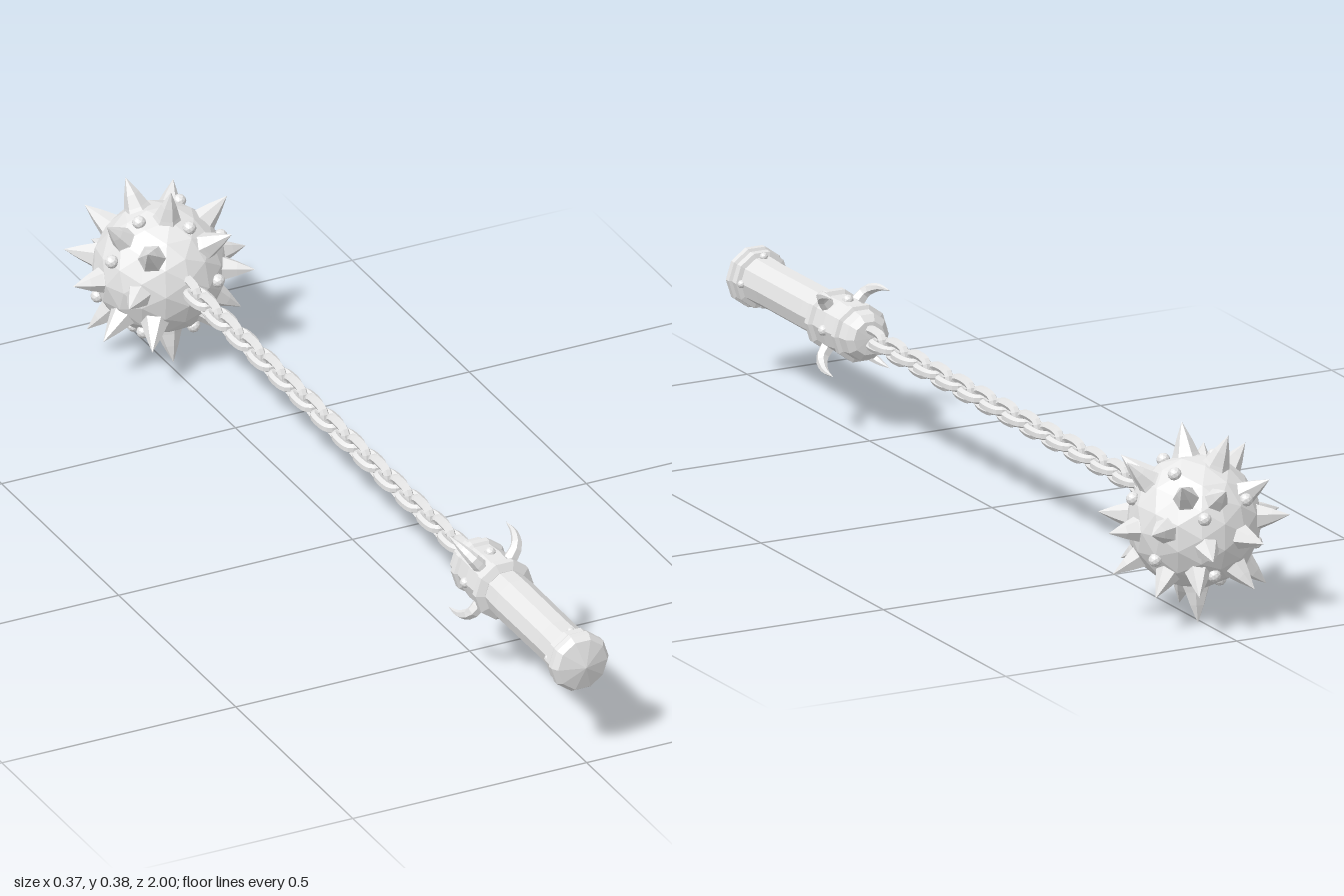
import * as THREE from 'three';

const AXIS_Y = 0.209;

export function createModel() {
  const model = new THREE.Group();
  const steel = new THREE.MeshStandardMaterial({ color: 0xe7e7e7, flatShading: true });
  steel.name = 'steel';

  const add = (parent, name, geometry) => {
    const mesh = new THREE.Mesh(geometry, steel);
    mesh.name = name;
    parent.add(mesh);
    return mesh;
  };
  const group = (name, y, z) => {
    const g = new THREE.Group();
    g.name = name;
    g.position.set(0, y, z);
    model.add(g);
    return g;
  };

  // Ten-sided turned part along z, from [radius, z] pairs in rising z
  const turned = (pairs) => new THREE.LatheGeometry(
    pairs.map(([r, z]) => new THREE.Vector2(r, z)), 10, Math.PI / 10).rotateX(Math.PI / 2);

  // Handle: collar, grip and pommel
  const handle = group('handle', AXIS_Y, 0);
  add(handle, 'collar', turned([
    [0, 0.497], [0.034, 0.499], [0.047, 0.51], [0.05, 0.532], [0.058, 0.535], [0.058, 0.548],
    [0.052, 0.552], [0.056, 0.59], [0.054, 0.632], [0.062, 0.636], [0.062, 0.65], [0.046, 0.657], [0, 0.657],
  ]));
  add(handle, 'grip', turned([[0.045, 0.65], [0.047, 0.7], [0.046, 0.88], [0.048, 0.945]]));
  add(handle, 'pommel', turned([
    [0.046, 0.935], [0.057, 0.938], [0.057, 0.953], [0.052, 0.956], [0.061, 0.96],
    [0.061, 0.972], [0.053, 0.984], [0, 0.999],
  ]));

  // Four hooked claws near the diagonals and studs between them
  const hook = new THREE.CatmullRomCurve3([
    [0.045, 0.61], [0.076, 0.604], [0.094, 0.575], [0.099, 0.532],
  ].map(([r, z]) => new THREE.Vector3(r, 0, z)));
  const clawGeometry = new THREE.TubeGeometry(hook, 8, 0.015, 6);
  const pos = clawGeometry.attributes.position;
  const p = new THREE.Vector3();
  for (let i = 0; i < pos.count; i++) {
    const t = Math.floor(i / 7) / 8;
    p.fromBufferAttribute(pos, i).lerp(hook.getPointAt(t), Math.pow(t, 1.4));
    pos.setXYZ(i, p.x, p.y, p.z);
  }
  for (const a of [0.9, Math.PI - 0.9, Math.PI + 0.9, -0.9]) {
    add(handle, 'claw', clawGeometry).rotation.z = a;
  }
  for (let i = 0; i < 4; i++) {
    const b = i * Math.PI / 2;
    add(handle, 'collarStud', new THREE.IcosahedronGeometry(0.011, 1))
      .position.set(Math.cos(b) * 0.053, Math.sin(b) * 0.053, 0.588);
    add(handle, 'pommelStud', new THREE.IcosahedronGeometry(0.008, 1))
      .position.set(Math.cos(b) * 0.048, Math.sin(b) * 0.048, 0.932);
  }

  // Chain: chunky oval links, every other one turned a quarter
  const chain = group('chain', AXIS_Y + 0.002, 0);
  const oval = [];
  for (const side of [1, -1]) {
    for (const [y, z] of [[0.0155, -0.021], [0.0155, 0.021], [0.011, 0.031], [0, 0.0345], [-0.011, 0.031]]) {
      oval.push(new THREE.Vector3(0, y * side, z * side));
    }
  }
  const linkGeometry = new THREE.TubeGeometry(
    new THREE.CatmullRomCurve3(oval, true), 24, 0.0092, 6, true);
  for (let i = 0; i < 27; i++) {
    const link = add(chain, 'link', linkGeometry);
    link.position.z = 0.479 - i * 0.0452;
    link.rotation.z = (i % 2) * Math.PI / 2;
  }

  // Spiked ball
  const head = group('spikedBall', 0.198, -0.825);
  add(head, 'ball', new THREE.IcosahedronGeometry(0.13, 2));

  // Each spike is given by its tip, measured from the ball's centre
  const up = new THREE.Vector3(0, 1, 0);
  const spikeGeometry = new THREE.LatheGeometry([
    [0.034, 0.108], [0.024, 0.131], [0.015, 0.156], [0, 0.19],
  ].map(([r, y]) => new THREE.Vector2(r, y)), 6);
  const spikes = [
    // top and upper band
    [-0.045, 0.178, -0.055], [0, 0.185, 0.05], [0.135, 0.13, 0.02], [-0.127, 0.13, 0.03],
    [0.09, 0.11, 0.13], [-0.09, 0.11, 0.13], [0.09, 0.11, -0.12], [-0.1, 0.1, -0.12], [0.01, 0.1, -0.15],
    // middle band
    [0.185, 0, 0], [-0.185, 0, 0], [0.15, 0.01, 0.11], [-0.13, 0, 0.13],
    [0.15, 0.02, -0.11], [-0.15, 0.02, -0.11], [0.05, -0.03, -0.173], [-0.06, -0.01, -0.172],
    // lower band and bottom
    [0.15, -0.1, 0.05], [-0.15, -0.1, 0.06], [-0.13, -0.13, -0.05], [0.12, -0.12, -0.07],
    [0.06, -0.11, -0.135], [-0.06, -0.11, -0.135], [0.085, -0.1, 0.14], [-0.085, -0.1, 0.14],
    [0, -0.18, 0.06], [0.01, -0.194, -0.035],
  ];
  for (const s of spikes) {
    const tip = new THREE.Vector3(...s);
    const spike = add(head, 'spike', spikeGeometry);
    spike.scale.y = tip.length() / 0.19;
    spike.quaternion.setFromUnitVectors(up, tip.normalize());
  }

  // Round studs between the spikes
  const studs = [
    [-0.053, 0.117, 0.02], [0.03, 0.105, 0.065], [-0.118, 0.053, 0.03], [0.118, 0.053, 0.03],
    [-0.065, -0.1, 0.06], [0.035, -0.1, 0.075], [0.07, 0.005, 0.11], [0.06, 0.11, -0.035],
    [0.04, 0.04, -0.12], [-0.06, 0.06, -0.1], [0.11, -0.05, -0.05], [-0.115, -0.05, -0.03],
    [0.01, -0.08, -0.1], [-0.05, -0.12, -0.01],
  ];
  const studGeometry = new THREE.IcosahedronGeometry(0.0135, 1);
  for (const s of studs) {
    add(head, 'ballStud', studGeometry)
      .position.set(...s).setLength(0.131);
  }
  return model;
}
